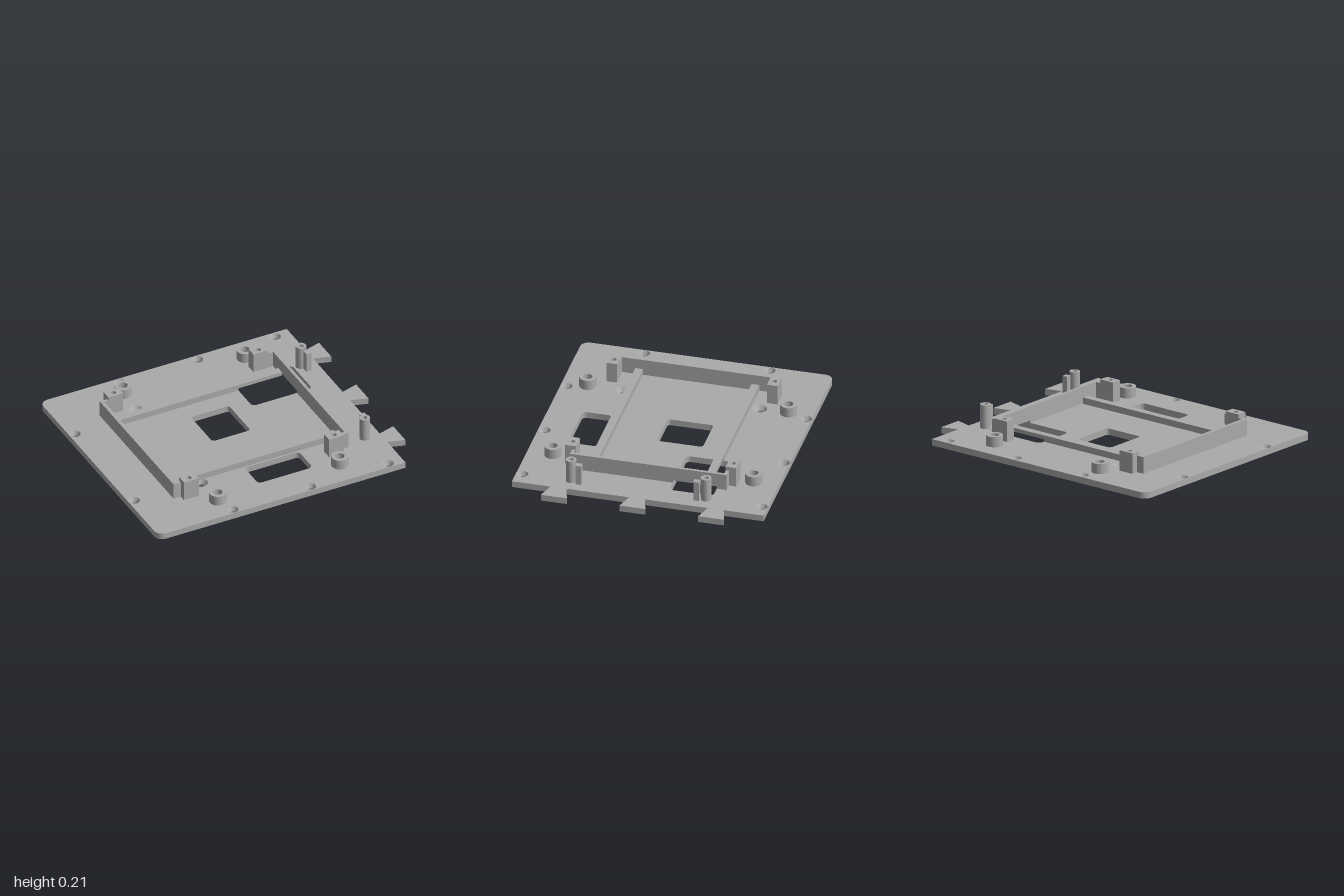
import * as THREE from 'three';
import { toCreasedNormals } from 'three/addons/utils/BufferGeometryUtils.js';

const PLATE = 0.045;

export function createModel() {
  const group = new THREE.Group();
  group.name = 'mountingPlate';
  const grey = new THREE.MeshStandardMaterial({ color: 0xaaaaaa });
  grey.name = 'grey';

  const add = (name, geometry) => {
    const mesh = new THREE.Mesh(geometry, grey);
    mesh.name = name;
    group.add(mesh);
    return mesh;
  };

  // Plan shapes are drawn in (x, -z) and then laid flat.
  const circle = (x, z, r) => new THREE.Path().absarc(x, -z, r, 0, Math.PI * 2, true);
  const disc = (x, z, r) => new THREE.Shape().absarc(x, -z, r, 0, Math.PI * 2, false);
  const roundRect = (x0, x1, z0, z1, r) => {
    const p = new THREE.Path();
    const a = -z1, b = -z0, h = Math.PI / 2;
    p.absarc(x0 + r, a + r, r, 2 * h, 3 * h);
    p.absarc(x1 - r, a + r, r, 3 * h, 4 * h);
    p.absarc(x1 - r, b - r, r, 0, h);
    p.absarc(x0 + r, b - r, r, h, 2 * h);
    p.closePath();
    return p;
  };
  const extrude = (shape, y0, y1) => {
    const g = new THREE.ExtrudeGeometry(shape, { depth: y1 - y0, bevelEnabled: false, curveSegments: 20 });
    g.rotateX(-Math.PI / 2).translate(0, y0, 0);
    return g;
  };
  const solid = (name, shape, y0, y1) => add(name, toCreasedNormals(extrude(shape, y0, y1), 0.6));
  const box = (name, x0, x1, y0, y1, z0, z1) => {
    const g = new THREE.BoxGeometry(x1 - x0, y1 - y0, z1 - z0);
    g.translate((x0 + x1) / 2, (y0 + y1) / 2, (z0 + z1) / 2);
    return add(name, g);
  };

  // Plate outline: two rounded corners on one side, three dovetail tabs on the other
  const outline = () => {
    const s = new THREE.Shape();
    const r = 0.06;
    s.moveTo(-1 + r, -0.88);
    s.lineTo(0.88, -0.88);
    for (const z of [0.555, 0.006, -0.545]) {
      s.lineTo(0.88, -z - 0.056);
      s.lineTo(1, -z - 0.091);
      s.lineTo(1, -z + 0.091);
      s.lineTo(0.88, -z + 0.056);
    }
    s.lineTo(0.88, 0.88);
    s.lineTo(-1 + r, 0.88);
    s.absarc(-1 + r, 0.88 - r, r, Math.PI / 2, Math.PI);
    s.absarc(-1 + r, -0.88 + r, r, Math.PI, Math.PI * 1.5);
    s.holes.push(
      roundRect(-0.17, 0.12, -0.255, 0.065, 0.022),
      roundRect(0.26, 0.715, -0.485, -0.18, 0.03),
      roundRect(-0.118, 0.295, 0.44, 0.645, 0.03)
    );
    return s;
  };

  // Countersunk screw holes: x, z, top radius, bore radius
  const screws = [[-0.957, -0.44, 0.04, 0.022], [-0.957, 0.438, 0.04, 0.022],
    [-0.46, -0.503, 0.049, 0.026], [-0.46, 0.457, 0.049, 0.026]];
  for (const x of [-0.412, 0.178, 0.768]) {
    screws.push([x, -0.838, 0.04, 0.022], [x, 0.836, 0.04, 0.022]);
  }

  // Plate faces, with wide holes on top and narrow ones below
  const top = outline(), bottom = outline();
  for (const [x, z, big, small] of screws) {
    top.holes.push(circle(x, z, big));
    bottom.holes.push(circle(x, z, small));
  }
  add('plateTop', new THREE.ShapeGeometry(top, 20).rotateX(-Math.PI / 2).translate(0, PLATE, 0));
  const under = new THREE.ShapeGeometry(bottom, 20).rotateX(-Math.PI / 2);
  const idx = under.index.array;
  for (let i = 0; i < idx.length; i += 3) [idx[i], idx[i + 1]] = [idx[i + 1], idx[i]];
  under.computeVertexNormals();
  add('plateUnderside', under);

  // Plate edges: only the side walls of the extrusion
  const full = extrude(outline(), 0, PLATE);
  const side = full.groups.find((g) => g.materialIndex === 1);
  const walls = new THREE.BufferGeometry();
  walls.setAttribute('position', new THREE.BufferAttribute(
    full.attributes.position.array.slice(side.start * 3, (side.start + side.count) * 3), 3));
  add('plateEdges', toCreasedNormals(walls, 0.6));

  // Countersink linings, facing inward
  for (const [x, z, big, small] of screws) {
    const profile = [[big, PLATE], [small, 0.014], [small, 0]].map((p) => new THREE.Vector2(...p));
    const g = toCreasedNormals(new THREE.LatheGeometry(profile, 40), 0.5);
    add('screwHole', g.translate(x, 0, z));
  }

  // Hollow round standoffs
  const tube = (name, x, z, r, bore, y1) => {
    const s = disc(x, z, r);
    s.holes.push(circle(x, z, bore));
    solid(name, s, PLATE, y1);
  };
  for (const x of [-0.455, 0.473]) {
    for (const z of [-0.705, 0.7]) tube('standoff', x, z, 0.058, 0.032, 0.117);
  }

  // Tall pins with square posts beside them
  tube('pin', 0.767, -0.449, 0.036, 0.017, 0.212);
  tube('pin', 0.767, 0.496, 0.036, 0.017, 0.212);
  box('squarePost', 0.768, 0.807, PLATE, 0.19, -0.41, -0.37);
  box('squarePost', 0.768, 0.807, PLATE, 0.19, 0.416, 0.455);

  // Corner blocks with screw holes
  for (const [x0, x1] of [[-0.655, -0.543], [0.448, 0.56]]) {
    for (const [z0, z1] of [[-0.605, -0.531], [0.517, 0.591]]) {
      const s = new THREE.Shape([[x0, -z1], [x1, -z1], [x1, -z0], [x0, -z0]].map((p) => new THREE.Vector2(...p)));
      s.holes.push(circle((x0 + x1) / 2, (z0 + z1) / 2, 0.018));
      solid('cornerBlock', s, PLATE, 0.19);
    }
  }

  // Side walls with short returns into the blocks; one bridges the window
  box('rightWall', -0.71, -0.685, PLATE, 0.162, -0.554, 0.543);
  box('leftWall', 0.599, 0.62, PLATE, 0.162, -0.554, -0.485);
  box('leftWallBridge', 0.599, 0.62, 0.062, 0.162, -0.485, -0.18);
  box('leftWall', 0.599, 0.62, PLATE, 0.162, -0.18, 0.543);
  for (const [z0, z1] of [[-0.554, -0.533], [0.52, 0.543]]) {
    box('wallReturn', -0.685, -0.655, PLATE, 0.162, z0, z1);
    box('wallReturn', 0.56, 0.599, PLATE, 0.162, z0, z1);
  }

  // Low cross rails; the rear one bridges the window
  box('frontRail', -0.685, 0.59, PLATE, 0.09, 0.373, 0.428);
  box('rearRail', -0.685, 0.26, PLATE, 0.09, -0.44, -0.386);
  box('rearRailBridge', 0.26, 0.59, 0.062, 0.09, -0.44, -0.386);

  return group;
}
